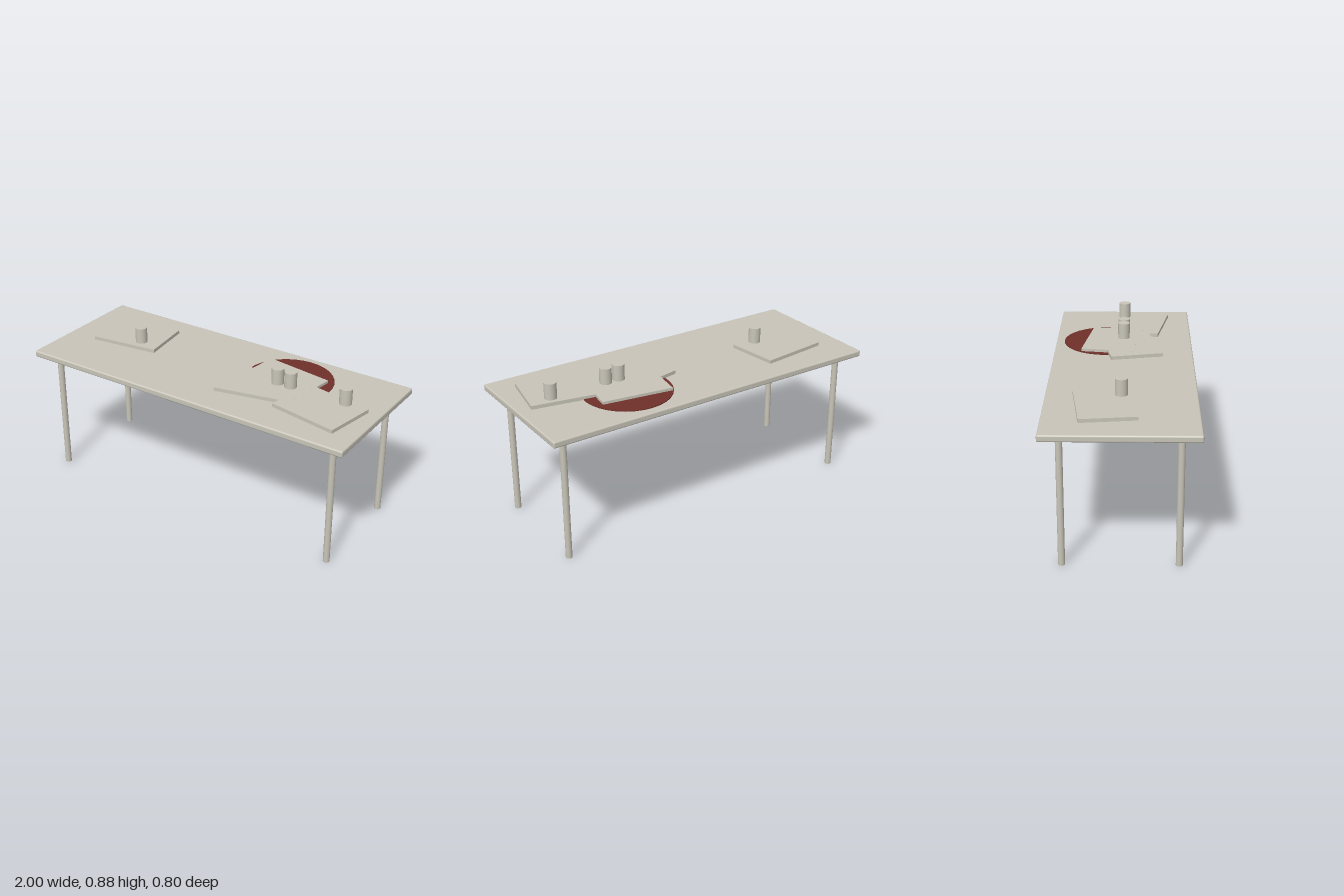
import * as THREE from 'three';
import { RoundedBoxGeometry } from 'three/addons/geometries/RoundedBoxGeometry.js';

export function createModel() {
  const group = new THREE.Group();
  const stone = new THREE.MeshStandardMaterial({ color: 0xc8c4b8 });
  stone.name = 'warmGrey';
  const red = new THREE.MeshStandardMaterial({ color: 0x6f302a });
  red.name = 'darkRed';

  const add = (name, geometry, material, x, y, z, turn = 0) => {
    const mesh = new THREE.Mesh(geometry, material);
    mesh.name = name;
    mesh.position.set(x, y, z);
    mesh.rotation.y = turn;
    group.add(mesh);
  };

  // Table top with softened edges
  add('tableTop', new RoundedBoxGeometry(2, 0.037, 0.8, 3, 0.009), stone, 0, 0.7415, 0);

  // Four round legs
  const leg = new THREE.CylinderGeometry(0.018, 0.018, 0.724, 16);
  for (const x of [-0.9, 0.9]) {
    for (const z of [-0.3, 0.3]) add('leg', leg, stone, x, 0.362, z);
  }

  // Round mat
  add('roundMat', new THREE.CylinderGeometry(0.25, 0.25, 0.005, 32), red, 0.4, 0.7625, -0.102);

  // Flat boards lying at an angle; heights differ by a hair where they overlap
  const boards = [
    [-0.63, -0.084, 0.12],
    [0.293, 0.038, 0.21],
    [0.703, 0.09, -0.18],
    [0.378, -0.066, -0.146],
  ];
  boards.forEach(([x, z, turn], i) => {
    const height = 0.02 + i * 0.0002;
    add('board', new THREE.BoxGeometry(0.4, height, 0.3), stone, x, 0.76 + height / 2, z, turn);
  });

  // Cups
  const cup = new THREE.CylinderGeometry(0.034, 0.034, 0.09, 24);
  for (const x of [-0.532, 0.391, 0.471, 0.802]) add('cup', cup, stone, x, 0.832, 0);

  return group;
}
